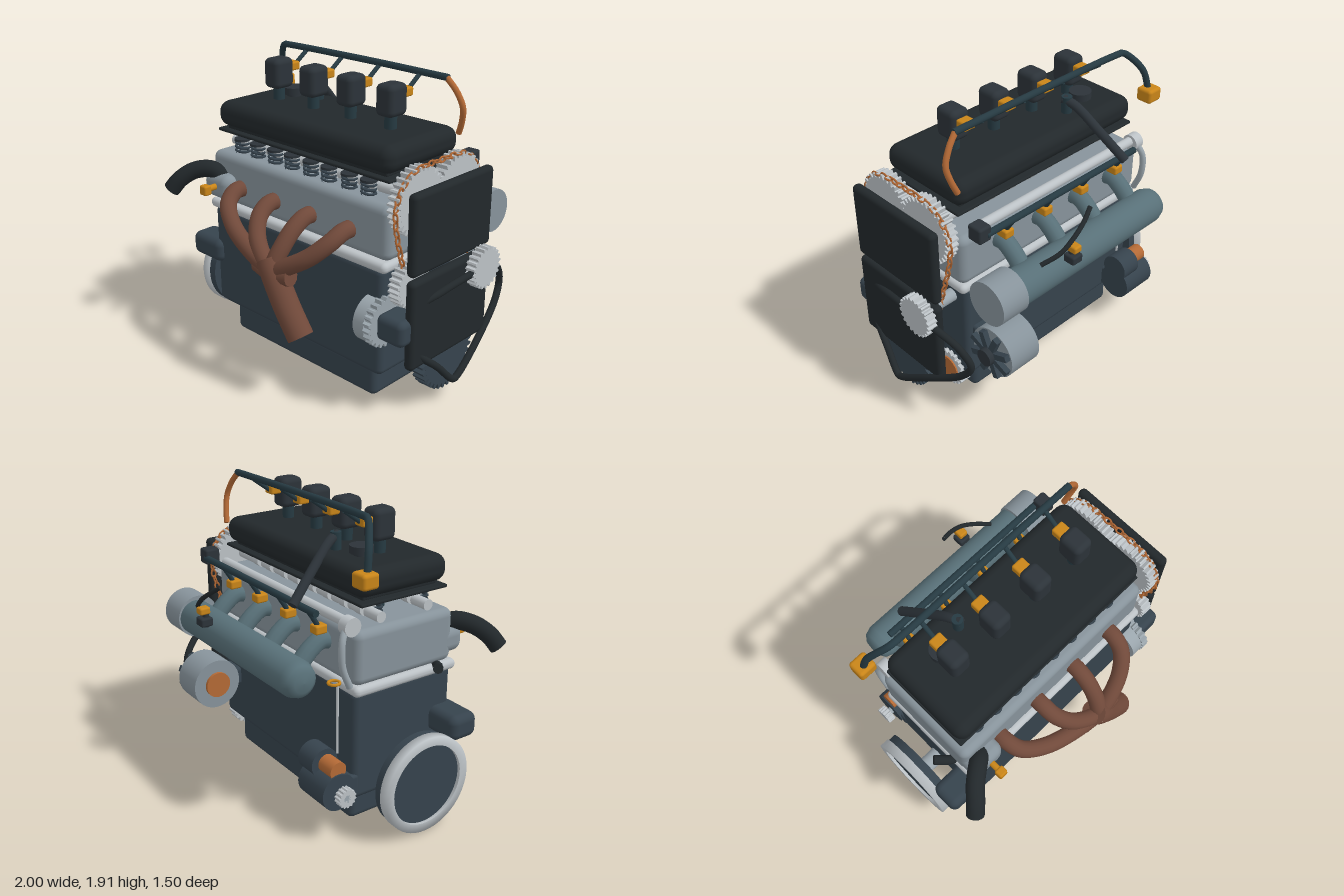
import * as THREE from 'three';
import { RoundedBoxGeometry } from 'three/addons/geometries/RoundedBoxGeometry.js';

const C = { block: 0x36434d, black: 0x22282b, head: 0x87939b, light: 0xbcc2c6, steel: 0x9aa5ac, brown: 0x70493a,
  amber: 0xc98519, copper: 0xb46a36, teal: 0x263a42, plenum: 0x587078, coil: 0x2c3339 };
const mats = {};
const mat = (c) => (mats[c] ??= new THREE.MeshStandardMaterial({ color: C[c] }));
const V = (a) => new THREE.Vector3(...a);

export function createModel() {
  const root = new THREE.Group();
  const add = (name, geo, color, pos = [0, 0, 0]) => {
    const m = new THREE.Mesh(geo, mat(color));
    m.name = name;
    m.position.set(...pos);
    root.add(m);
    return m;
  };
  // rounded box given by its extents
  const box = (name, color, x0, x1, y0, y1, z0, z1, r = 0.03) => {
    const s = [x1 - x0, y1 - y0, z1 - z0];
    return add(name, new RoundedBoxGeometry(...s, 3, Math.min(r, Math.min(...s) * 0.49)), color,
      [(x0 + x1) / 2, (y0 + y1) / 2, (z0 + z1) / 2]);
  };
  // cylinder along x
  const cylX = (name, color, x0, x1, y, z, r, n = 32) =>
    add(name, new THREE.CylinderGeometry(r, r, x1 - x0, n).rotateZ(Math.PI / 2), color, [(x0 + x1) / 2, y, z]);
  const cylY = (name, color, x, y0, y1, z, r, n = 20) =>
    add(name, new THREE.CylinderGeometry(r, r, y1 - y0, n), color, [x, (y0 + y1) / 2, z]);
  // smooth hose with closed ends
  const tube = (name, color, pts, r, closed = false, n = 12) => {
    const curve = new THREE.CatmullRomCurve3(pts.map(V), closed, 'centripetal');
    add(name, new THREE.TubeGeometry(curve, pts.length * 10, r, n, closed), color);
    if (closed) return;
    [0, 1].forEach((t) => {
      const cap = add(name + 'End', new THREE.CircleGeometry(r, n), color, curve.getPoint(t).toArray());
      cap.lookAt(curve.getPoint(t).add(curve.getTangent(t).multiplyScalar(t ? 1 : -1)));
    });
  };
  // toothed wheel along x
  const gear = (name, color, x0, x1, y, z, r, teeth) => {
    const s = new THREE.Shape();
    const step = (Math.PI * 2) / teeth;
    for (let i = 0; i < teeth; i++) {
      [[0, 0.87], [0.25, 1], [0.55, 1], [0.8, 0.87]].forEach(([f, k], j) => {
        const a = (i + f) * step;
        s[i + j ? 'lineTo' : 'moveTo'](Math.cos(a) * r * k, Math.sin(a) * r * k);
      });
    }
    const g = new THREE.ExtrudeGeometry(s, { depth: x1 - x0, bevelEnabled: false }).rotateY(Math.PI / 2);
    add(name, g, color, [x0, y, z]);
  };
  const cylinders = [-0.495, -0.183, 0.13, 0.445];

  // main castings
  box('oilPan', 'block', -0.65, 0.61, 0, 0.21, -0.26, 0.335, 0.04);
  box('panGasket', 'light', -0.6, 0.58, 0.19, 0.215, -0.25, 0.32, 0.005);
  box('engineBlock', 'block', -0.755, 0.71, 0.21, 0.9, -0.32, 0.4, 0.04);
  box('headGasket', 'light', -0.79, 0.74, 0.88, 0.945, -0.335, 0.41, 0.03);
  box('cylinderHead', 'head', -0.78, 0.735, 0.94, 1.27, -0.33, 0.38, 0.05);
  box('coverPlate', 'black', -0.755, 0.705, 1.395, 1.415, -0.28, 0.34, 0.01);
  box('valveCover', 'black', -0.755, 0.705, 1.43, 1.595, -0.285, 0.35, 0.07);
  box('valveCoverCore', 'black', -0.7, 0.65, 1.41, 1.45, -0.23, 0.3, 0.01);

  // camshafts, lobes and valve springs
  for (const z of [0.21, -0.13]) {
    cylX('camshaft', 'light', -0.74, 0.76, 1.31, z, 0.033, 20);
    for (const cx of cylinders) for (const d of [-0.075, 0.075]) {
      const x = cx + d - 0.02;
      const lobe = cylX('camLobe', 'light', x - 0.03, x + 0.03, 1.325, z, 0.045, 20);
      lobe.scale.set(1, 1, 1.3);
      const coil = [];
      for (let i = 0; i <= 24; i++) {
        const a = (i / 6) * Math.PI * 2;
        coil.push([x + Math.cos(a) * 0.042, 1.255 + i * 0.0042, z + 0.07 + Math.sin(a) * 0.042]);
      }
      add('valveSpring', new THREE.TubeGeometry(new THREE.CatmullRomCurve3(coil.map(V)), 60, 0.008, 5), 'block');
      cylY('springCap', 'coil', x, 1.35, 1.365, z + 0.07, 0.05, 16);
    }
    gear('camGear', 'light', 0.75, 0.83, 1.29, z, 0.205, 32);
  }
  cylX('rearRail', 'light', -0.72, 0.63, 1.31, -0.33, 0.03, 20);
  cylX('rearRailCollar', 'light', -0.755, -0.69, 1.3, -0.335, 0.055, 20);
  tube('coolantPipe', 'steel', [[-0.72, 1.3, -0.36], [-0.745, 1.22, -0.4], [-0.75, 1.08, -0.4], [-0.75, 0.95, -0.35]], 0.02);

  // ignition coils with wires to the harness
  for (const x of cylinders) {
    cylY('coilStem', 'teal', x, 1.25, 1.7, 0.04, 0.037);
    box('ignitionCoil', 'coil', x - 0.065, x + 0.065, 1.67, 1.86, -0.04, 0.115, 0.035);
    box('coilConnector', 'amber', x - 0.042, x + 0.042, 1.765, 1.82, -0.11, -0.035, 0.012);
    tube('coilWire', 'teal', [[x, 1.79, -0.1], [x, 1.82, -0.14], [x, 1.87, -0.21]], 0.014);
  }
  tube('wiringHarness', 'teal', [[-0.85, 1.62, -0.32], [-0.82, 1.75, -0.29], [-0.71, 1.875, -0.215], [-0.65, 1.88, -0.21],
    [0, 1.885, -0.21], [0.65, 1.88, -0.21]], 0.021);
  tube('harnessTail', 'copper', [[0.64, 1.88, -0.21], [0.7, 1.81, -0.225], [0.74, 1.72, -0.24], [0.725, 1.63, -0.26],
    [0.695, 1.55, -0.275]], 0.018);
  box('harnessPlug', 'amber', -0.905, -0.79, 1.55, 1.64, -0.385, -0.275, 0.02);
  cylY('oilFillerCap', 'coil', -0.485, 1.61, 1.655, -0.08, 0.07, 24);
  cylY('oilFillerNeck', 'coil', -0.485, 1.57, 1.62, -0.08, 0.045);
  cylY('breatherStub', 'teal', -0.31, 1.57, 1.7, -0.13, 0.033);
  tube('breatherHose', 'coil', [[-0.3, 1.68, -0.11], [-0.325, 1.65, -0.19], [-0.37, 1.53, -0.33], [-0.43, 1.365, -0.51]], 0.029);

  // intake plenum, turned with rounded ends
  const plenum = [[0, -0.66], [0.06, -0.655], [0.095, -0.63], [0.112, -0.58], [0.112, 0.59], [0, 0.59]];
  add('intakePlenum', new THREE.LatheGeometry(plenum.map(([r, y]) => new THREE.Vector2(r, y)), 32)
    .rotateZ(-Math.PI / 2), 'plenum', [0, 1, -0.588]);
  cylX('throttleBody', 'head', 0.585, 0.775, 1, -0.573, 0.138);
  for (const x of cylinders) {
    tube('intakeRunner', 'plenum', [[x, 1.14, -0.3], [x, 1.15, -0.37], [x, 1.11, -0.44], [x, 1.02, -0.53]], 0.055);
    box('injector', 'amber', x - 0.035, x + 0.035, 1.195, 1.25, -0.42, -0.34, 0.012);
    tube('injectorFeed', 'teal', [[x, 1.23, -0.38], [x, 1.28, -0.41], [x, 1.35, -0.455]], 0.015);
  }
  cylX('fuelRail', 'teal', -0.58, 0.66, 1.35, -0.455, 0.021, 12);
  box('pressureRegulator', 'coil', 0.63, 0.72, 1.31, 1.41, -0.47, -0.37, 0.015);
  box('plenumSensor', 'coil', 0.195, 0.275, 1.08, 1.135, -0.75, -0.67, 0.012);
  box('sensorPlug', 'amber', 0.205, 0.265, 1.155, 1.2, -0.75, -0.68, 0.012);
  cylY('sensorStem', 'coil', 0.235, 1.07, 1.17, -0.7, 0.02);
  tube('sensorWire', 'black', [[0.075, 1.36, -0.68], [0.15, 1.31, -0.705], [0.24, 1.25, -0.715], [0.33, 1.18, -0.7],
    [0.43, 1.12, -0.645]], 0.014);

  // exhaust manifold
  cylinders.forEach((x) => {
    const lerp = (t) => x + (0.09 - x) * t;
    tube('exhaustRunner', 'brown', [[x, 1.07, 0.34], [x, 1.07, 0.43], [lerp(0.06), 1.02, 0.52], [lerp(0.3), 0.93, 0.6],
      [lerp(0.7), 0.84, 0.65], [0.1, 0.78, 0.66]], 0.053, false, 16);
  });
  tube('collector', 'brown', [[0.06, 0.85, 0.65], [0.1, 0.79, 0.66], [0.21, 0.61, 0.665], [0.33, 0.44, 0.665]], 0.08, false, 20);
  tube('collectorFlare', 'brown', [[-0.04, 0.79, 0.65], [0.1, 0.77, 0.66], [0.24, 0.79, 0.65]], 0.055);

  // thermostat housing and hoses
  box('thermostatHousing', 'head', -0.78, -0.54, 0.98, 1.145, 0.28, 0.47, 0.06);
  box('temperatureSensor', 'amber', -0.68, -0.62, 1.035, 1.1, 0.52, 0.575, 0.012);
  cylY('sensorNeck', 'amber', -0.65, 1.01, 1.09, 0, 0.02).rotation.x = Math.PI / 2;
  root.children.at(-1).position.set(-0.65, 1.07, 0.49);
  tube('radiatorHose', 'black', [[-0.66, 1.1, 0.38], [-0.72, 1.16, 0.43], [-0.81, 1.15, 0.5], [-0.88, 1.09, 0.57],
    [-0.925, 1.02, 0.61]], 0.056, false, 16);
  tube('heaterHose', 'black', [[-0.75, 0.925, 0.27], [-0.8, 0.94, 0.25], [-0.87, 0.965, 0.19]], 0.03);

  // mounts and water pump
  box('mountLeft', 'block', 0.72, 0.92, 0.5, 0.66, 0.27, 0.465, 0.04);
  box('mountRight', 'block', -0.97, -0.68, 0.5, 0.66, 0.24, 0.44, 0.05);
  cylX('waterPump', 'steel', 0.61, 0.69, 0.58, 0.38, 0.145);
  gear('pumpGear', 'steel', 0.69, 0.74, 0.585, 0.38, 0.155, 22);

  // crankshaft and flywheel
  const cy = 0.315, cz = 0.035;
  cylX('crankshaft', 'steel', -0.9, 0.85, cy, cz, 0.055);
  cylX('flywheel', 'block', -0.98, -0.885, cy, cz, 0.295, 48);
  const rim = new THREE.LatheGeometry([[0.25, -0.03], [0.305, -0.03], [0.305, 0.03], [0.25, 0.03], [0.25, -0.03]]
    .map(([r, y]) => new THREE.Vector2(r, y)), 48).rotateZ(-Math.PI / 2);
  add('flywheelRim', rim, 'light', [-0.97, cy, cz]);
  gear('crankSprocket', 'light', 0.75, 0.83, cy + 0.02, cz, 0.13, 24);
  gear('crankPulley', 'block', 0.83, 0.92, cy, cz, 0.23, 32);
  gear('oilPumpGear', 'light', 0.66, 0.735, 0.21, -0.17, 0.125, 18);
  cylX('oilPumpHub', 'copper', 0.65, 0.745, 0.21, -0.17, 0.08);
  gear('idlerGear', 'light', 0.775, 0.85, 0.82, 0.28, 0.14, 24);
  gear('beltGear', 'light', 0.935, 1, 0.81, -0.205, 0.13, 22);
  cylX('beltGearShaft', 'steel', 0.7, 0.96, 0.81, -0.205, 0.04);

  // timing chain of alternating links
  const loop = new THREE.CatmullRomCurve3([[1.3, 0.41], [1.46, 0.3], [1.49, 0.04], [1.46, -0.22], [1.3, -0.33], [0.8, -0.22],
    [0.32, -0.1], [0.19, 0.03], [0.32, 0.17], [0.8, 0.3]].map(([y, z]) => new THREE.Vector3(0.815, y, z)), true);
  const links = 70;
  for (let i = 0; i < links; i++) {
    const p = loop.getPointAt(i / links), t = loop.getTangentAt(i / links);
    const g = new THREE.TorusGeometry(0.016, 0.006, 5, 10).scale(1.6, 1, 1);
    if (i % 2) g.rotateX(Math.PI / 2);
    g.rotateY(Math.PI / 2).rotateX(Math.atan2(t.z, t.y) + Math.PI / 2);
    add('chainLink', g, 'copper', p.toArray());
  }
  box('timingCoverUpper', 'black', 0.868, 0.933, 0.912, 1.4, -0.32, 0.388, 0.03);
  box('timingCoverLower', 'black', 0.868, 0.933, 0.33, 0.888, -0.32, 0.388, 0.03);

  // drive belt
  tube('driveBelt', 'black', [[0.9, 0.47, 0.34], [0.9, 0.7, 0.3], [0.94, 0.76, 0.15], [0.97, 0.8, -0.1], [0.95, 0.77, -0.32],
    [0.9, 0.68, -0.47], [0.87, 0.56, -0.535], [0.89, 0.46, -0.47], [0.95, 0.29, -0.2], [0.975, 0.17, 0],
    [0.975, 0.16, 0.04], [0.95, 0.28, 0.16]], 0.022, true);

  // alternator with fan blades
  cylX('alternator', 'head', 0.47, 0.69, 0.545, -0.52, 0.165, 36);
  cylX('alternatorCap', 'copper', 0.45, 0.48, 0.545, -0.52, 0.085);
  cylX('alternatorHub', 'coil', 0.68, 0.76, 0.545, -0.52, 0.055);
  for (let i = 0; i < 8; i++) {
    const blade = new THREE.BoxGeometry(0.04, 0.11, 0.04).translate(0, 0.1, 0).rotateX((i * Math.PI) / 4 + 0.4);
    add('fanBlade', blade, 'block', [0.705, 0.545, -0.52]);
  }
  box('alternatorBracket', 'block', 0.5, 0.66, 0.48, 0.6, -0.42, -0.3, 0.02);

  // starter motor
  cylX('starterMotor', 'block', -0.77, -0.52, 0.315, -0.43, 0.115);
  box('starterBracket', 'block', -0.76, -0.52, 0.24, 0.38, -0.42, -0.28, 0.02);
  cylX('starterShaft', 'steel', -0.84, -0.76, 0.305, -0.42, 0.025, 16);
  gear('starterGear', 'light', -0.84, -0.79, 0.305, -0.42, 0.06, 14);
  cylX('solenoid', 'block', -0.64, -0.5, 0.45, -0.44, 0.09);
  cylX('solenoidCap', 'copper', -0.76, -0.63, 0.45, -0.43, 0.055);

  // dipstick
  cylY('dipstick', 'light', -0.63, 0.48, 0.93, -0.345, 0.008, 8);
  add('dipstickHandle', new THREE.TorusGeometry(0.033, 0.009, 8, 20).rotateX(Math.PI / 2), 'amber', [-0.63, 0.935, -0.37]);
  return root;
}
